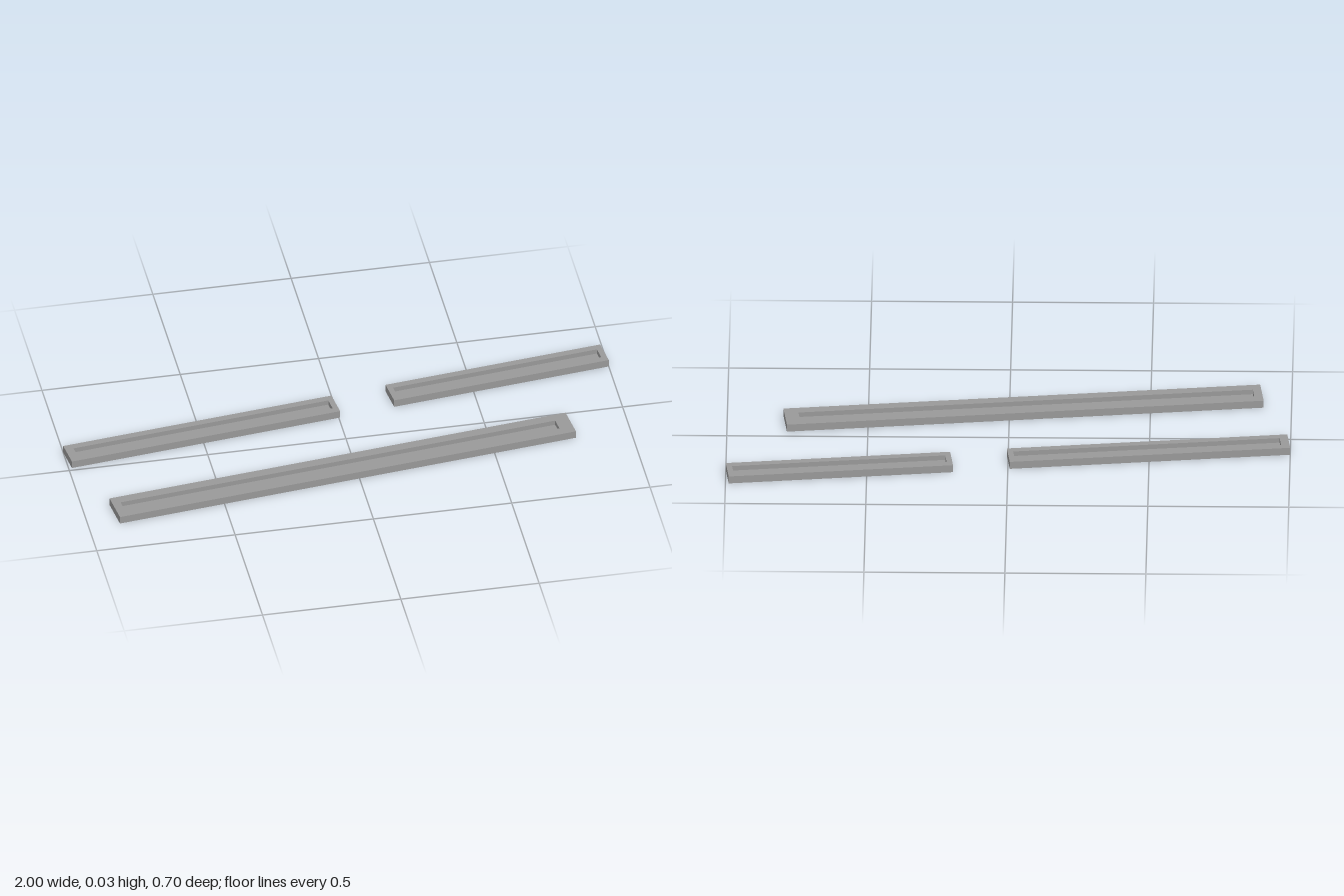
import * as THREE from 'three';

const HEIGHT = 0.028;      // bar height
const FLOOR = 0.01;        // thickness left under the slot
const SLOT = 0.05;         // slot width
const YAW = 0.118;         // shared slant of all bars

function rectPoints(x0, x1, w) {
  return [[x0, -w / 2], [x1, -w / 2], [x1, w / 2], [x0, w / 2]].map(([x, y]) => new THREE.Vector2(x, y));
}

// A bar with a long rectangular slot sunk into its top
function slottedBar({ name, length, width, x, z, leftRim, rightRim }, material) {
  const bar = new THREE.Group();
  bar.name = name;
  const x0 = -length / 2 + leftRim;
  const x1 = length / 2 - rightRim;

  // Frame around the slot
  const outline = new THREE.Shape(rectPoints(-length / 2, length / 2, width));
  outline.holes.push(new THREE.Path(rectPoints(x0, x1, SLOT).reverse()));
  const frameGeometry = new THREE.ExtrudeGeometry(outline, { depth: HEIGHT, bevelEnabled: false });
  frameGeometry.rotateX(-Math.PI / 2);
  const frame = new THREE.Mesh(frameGeometry, material);
  frame.name = 'barFrame';

  // Floor of the slot
  const floor = new THREE.Mesh(new THREE.BoxGeometry(x1 - x0, FLOOR, SLOT), material);
  floor.name = 'slotFloor';
  floor.position.set((x0 + x1) / 2, FLOOR / 2, 0);

  bar.add(frame, floor);
  bar.position.set(x, 0, z);
  bar.rotation.y = YAW;
  return bar;
}

export function createModel() {
  const model = new THREE.Group();
  model.name = 'slottedBars';
  const grey = new THREE.MeshStandardMaterial({ color: 0x999999 });
  grey.name = 'grey';

  const bars = [
    { name: 'longFrontBar', length: 1.7, width: 0.12, x: -0.05, z: 0.193, leftRim: 0.03, rightRim: 0.05 },
    { name: 'rearRightBar', length: 1.0, width: 0.1, x: -0.4975, z: -0.122, leftRim: 0.03, rightRim: 0.02 },
    { name: 'rearLeftBar', length: 0.8, width: 0.1, x: 0.597, z: -0.255, leftRim: 0.02, rightRim: 0.02 },
  ];
  for (const bar of bars) model.add(slottedBar(bar, grey));
  return model;
}
